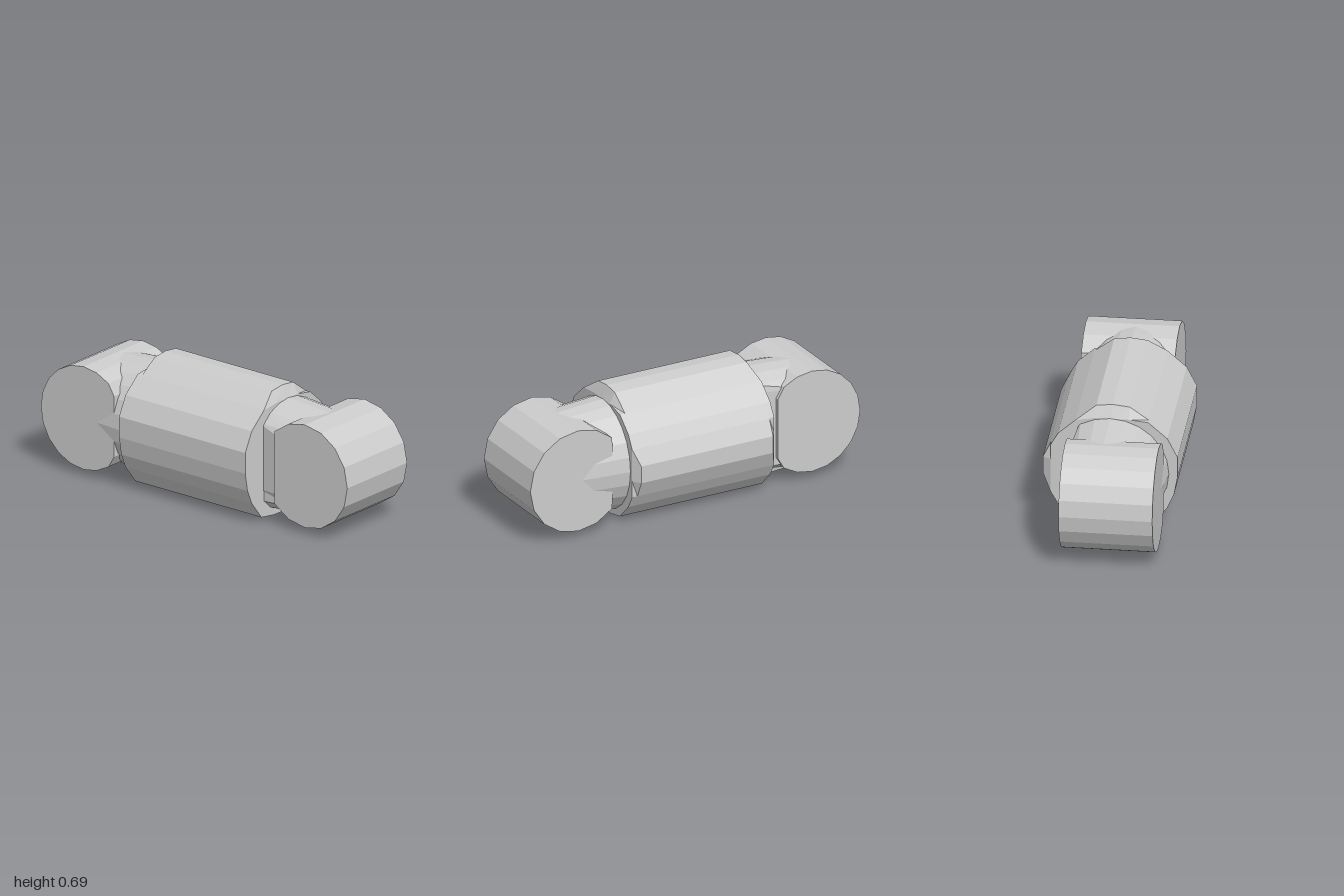
import * as THREE from 'three';

// Joins matching counterclockwise rings of [x, y], stacked at rising z, and caps both ends.
function loft(rings) {
  const pos = [];
  const tri = (a, b, c) => pos.push(...a, ...b, ...c);
  const pts = rings.map(({ z, pts }) => pts.map(([x, y]) => [x, y, z]));
  const n = pts[0].length;
  const mid = (r) => [0, 1, 2].map((k) => r.reduce((s, p) => s + p[k], 0) / n);
  const first = pts[0], last = pts[pts.length - 1];
  const cA = mid(first), cB = mid(last);
  for (let j = 0; j < n; j++) {
    const k = (j + 1) % n;
    for (let i = 0; i < pts.length - 1; i++) {
      tri(pts[i][j], pts[i][k], pts[i + 1][k]);
      tri(pts[i][j], pts[i + 1][k], pts[i + 1][j]);
    }
    tri(cA, first[k], first[j]);
    tri(cB, last[j], last[k]);
  }
  const g = new THREE.BufferGeometry();
  g.setAttribute('position', new THREE.Float32BufferAttribute(pos, 3));
  g.computeVertexNormals();
  return g;
}

const ellipse = (rx, ry, cy, n) => Array.from({ length: n }, (_, i) => {
  const a = (i / n) * Math.PI * 2;
  return [rx * Math.cos(a), cy + ry * Math.sin(a)];
});
const clamp = THREE.MathUtils.clamp;

export function createModel() {
  const group = new THREE.Group();
  const metal = new THREE.MeshStandardMaterial({ color: 0xcccccc, flatShading: true });
  metal.name = 'plain grey metal';
  const add = (name, geometry) => {
    const m = new THREE.Mesh(geometry, metal);
    m.name = name;
    group.add(m);
    return m;
  };

  // Faceted central body with a slightly bevelled shoulder at each end
  const body = [
    [0.353, 0.27], [0.353, 0.365], [0.312, 0.45], [0.27, 0.52], [0.18, 0.6],
    [0.075, 0.677], [-0.01, 0.687], [-0.1, 0.677], [-0.2, 0.607], [-0.3, 0.52],
    [-0.353, 0.415], [-0.353, 0.3], [-0.335, 0.2], [-0.3, 0.12], [-0.22, 0.02],
    [-0.12, 0.005], [0.08, 0], [0.18, 0.022], [0.27, 0.11], [0.312, 0.18],
  ];
  const shoulder = body.map(([x, y]) => [Math.min(x, 0.31), Math.min(y, 0.618)]);
  add('centralBody', loft([
    { z: -0.425, pts: shoulder }, { z: -0.395, pts: body },
    { z: 0.39, pts: body }, { z: 0.42, pts: shoulder },
  ]));

  // Tapered necks, pared flat on the side where the barrel is offset inward
  const neckRing = (rx, ry, lo, hi) =>
    ellipse(rx, ry, 0.317, 24).map(([x, y]) => [clamp(x, lo, hi), y]);
  add('frontNeck', loft([
    { z: 0.38, pts: neckRing(0.295, 0.305, -0.2, 1) },
    { z: 0.62, pts: neckRing(0.272, 0.29, -0.225, 1) },
    { z: 0.75, pts: neckRing(0.255, 0.28, -0.22, 1) },
  ]));
  add('backNeck', loft([
    { z: -0.75, pts: neckRing(0.28, 0.28, -1, 0.195) },
    { z: -0.65, pts: neckRing(0.288, 0.288, -1, 0.195) },
    { z: -0.38, pts: neckRing(0.312, 0.305, -1, 0.165) },
  ]));

  // Cross barrels, cut short where they run into the necks
  const barrel = (name, x0, x1, side, sides) => {
    const pts = ellipse(0.285, 0.285, 0.32, sides).map(([u, y]) => {
      const z = side * 0.715 - u;
      return [side > 0 ? -Math.max(z, 0.51) : -Math.min(z, -0.51), y];
    });
    add(name, loft([{ z: x0, pts }, { z: x1, pts }])).rotation.y = Math.PI / 2;
  };
  barrel('frontBarrel', -0.227, 0.263, 1, 16);
  barrel('backBarrel', -0.29, 0.2, -1, 20);
  return group;
}
